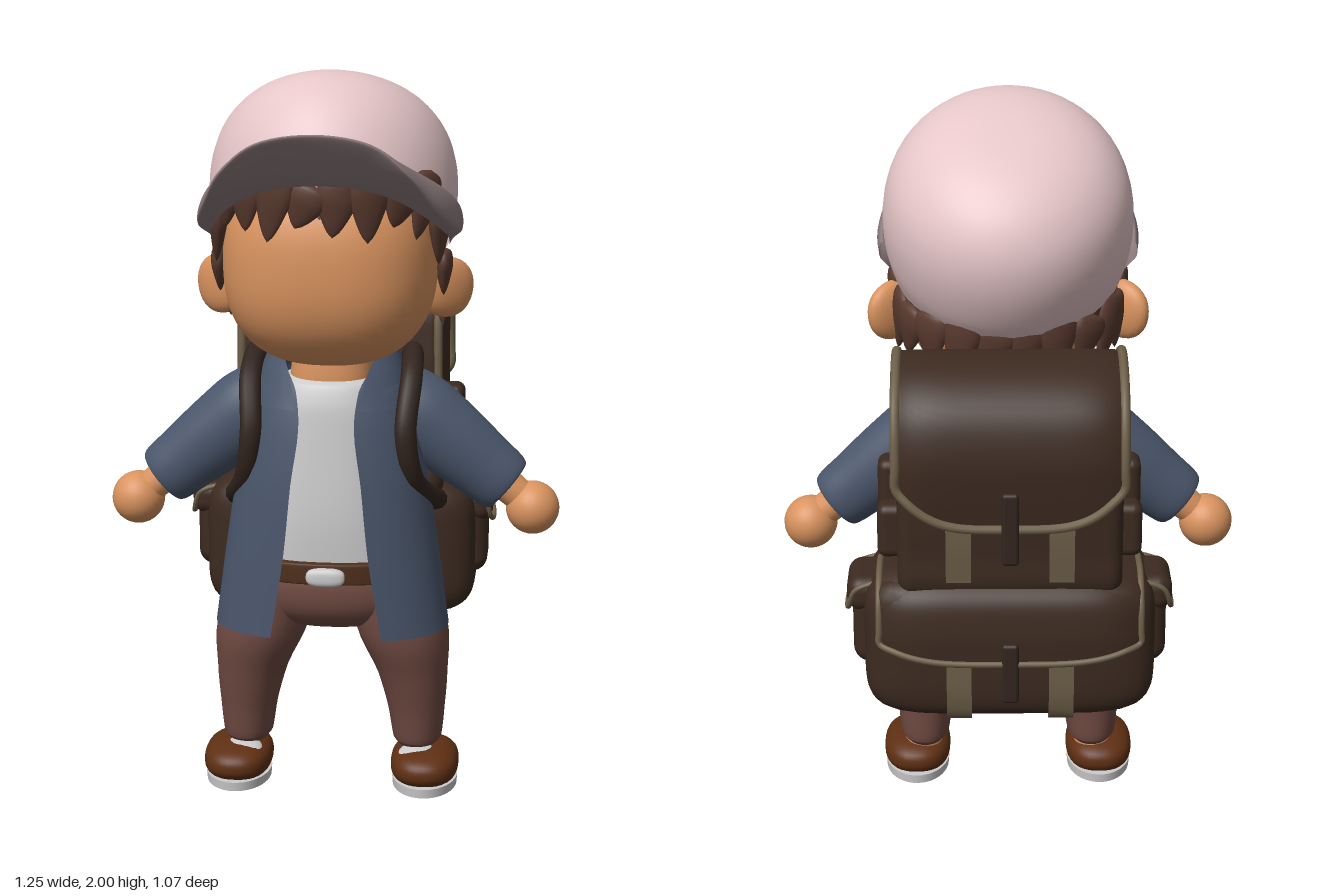
import * as THREE from 'three';
import { mergeVertices, toCreasedNormals } from 'three/addons/utils/BufferGeometryUtils.js';
import { RoundedBoxGeometry } from 'three/addons/geometries/RoundedBoxGeometry.js';
import { ParametricGeometry } from 'three/addons/geometries/ParametricGeometry.js';

const mat = (color) => new THREE.MeshStandardMaterial({ color, side: THREE.DoubleSide });
const V = (x, y, z) => new THREE.Vector3(x, y, z);
const spline = (pts, closed = false) => new THREE.CatmullRomCurve3(pts.map((p) => V(...p)), closed);

// Weld seams and rebuild smooth normals
function smooth(g) {
  g.deleteAttribute('normal');
  g.deleteAttribute('uv');
  const m = mergeVertices(g, 1e-5);
  m.computeVertexNormals();
  return m;
}
const surface = (fn, nu, nv) => smooth(new ParametricGeometry((u, v, t) => t.set(...fn(u, v)), nu, nv));

// Smooth turned shape from a few [radius, height] points, bottom to top
function turned(profile, n, seg) {
  const pts = spline(profile.map(([r, y]) => [r, y, 0])).getPoints(n);
  return smooth(new THREE.LatheGeometry(pts.map((p) => new THREE.Vector2(Math.max(0, p.x), p.y)), seg));
}

// Ball with squared-off roundness p
function ball(rx, ry, rz, p = 2, seg = 36) {
  const g = new THREE.SphereGeometry(1, seg, Math.round(seg * 0.7)), a = g.attributes.position;
  for (let i = 0; i < a.count; i++) {
    const c = [a.getX(i), a.getY(i), a.getZ(i)];
    const k = c.reduce((s, q) => s + Math.abs(q) ** p, 0) ** (-1 / p);
    a.setXYZ(i, c[0] * k * rx, c[1] * k * ry, c[2] * k * rz);
  }
  return smooth(g);
}

// Stacked rounded sections, bottom to top: [y, cx, cz, rx, rz, half width of front opening]
function loft(rows, e = 2.3, nu = 48, nv = 20) {
  const centre = spline(rows.map((r) => [r[1], r[0], r[2]]));
  const size = spline(rows.map((r) => [r[3], r[4], r[5] || 0]));
  const S = (s) => Math.sign(s) * Math.abs(s) ** (2 / e);
  return surface((u, v) => {
    const c = centre.getPoint(v), r = size.getPoint(v);
    const a0 = Math.asin(Math.min(1, (Math.max(0, r.z) / r.x) ** (e / 2)));
    const a = a0 + u * (2 * Math.PI - 2 * a0);
    return [c.x + r.x * S(Math.sin(a)), c.y, c.z + r.y * S(Math.cos(a))];
  }, nu, nv);
}

const tube = (pts, r, n = 48) => new THREE.TubeGeometry(spline(pts), n, r, 10);

// Side profile [z, y] extruded across x, with rounded rims
function bagBody(profile, half, bevel) {
  const pts = spline(profile.map(([z, y]) => [-z, y, 0]), true).getPoints(56);
  const g = new THREE.ExtrudeGeometry(new THREE.Shape(pts.map((p) => new THREE.Vector2(p.x, p.y))), {
    depth: 2 * (half - bevel), bevelSize: bevel, bevelThickness: bevel, bevelOffset: -bevel, bevelSegments: 5,
  });
  return toCreasedNormals(g.translate(0, 0, bevel - half).rotateY(Math.PI / 2), 0.8);
}

// Sheet that follows a side path [z, y]; corners shorten by round, side edges tuck in
function sheetPoint(path, half, cx, round = 0, tuck = 0) {
  const c = spline(path.map(([z, y]) => [0, y, z]));
  return (u, v) => {
    const s = 2 * u - 1, p = c.getPoint(v * (1 - round * s ** 4)), t = tuck * s ** 6;
    return [cx + s * half, p.y - t * 0.5, p.z + t];
  };
}

export function createModel() {
  const model = new THREE.Group();
  const M = {
    skin: mat(0xd9935f), hair: mat(0x593a2f), cap: mat(0xe6c6c8), brim: mat(0x8f7d7f), coat: mat(0x4a566b),
    grey: mat(0xcccccc), pants: mat(0x704a42), belt: mat(0x4d2e1b), shoe: mat(0x5f3013),
    bag: mat(0x3c2a20), strap: mat(0x32251e), trim: mat(0x6d5f48),
  };
  const add = (name, geo, m, x = 0, y = 0, z = 0, parent = model) => {
    const mesh = new THREE.Mesh(geo, M[m]);
    mesh.name = name;
    mesh.position.set(x, y, z);
    parent.add(mesh);
    return mesh;
  };

  // Head and neck
  add('head', ball(0.288, 0.285, 0.295, 2.5, 48), 'skin', 0, 1.495, 0.065);
  add('neck', loft([[1.09, 0, 0.04, 0.115, 0.1], [1.16, 0, 0.04, 0.115, 0.11], [1.28, 0, 0.04, 0.1, 0.1]]), 'skin');

  // Hair: shell with a scalloped edge, then pointed locks along it
  const hairEdge = (a) => 1.36 + 0.28 * THREE.MathUtils.smoothstep(Math.cos(a), -0.3, 0.65);
  const hairPoint = (a, y, grow = 0) => {
    const f = Math.max(0.05, 1 - Math.abs((y - 1.5) / (y > 1.5 ? 0.42 : 0.31)) ** 2.5) ** 0.4;
    const q = (Math.abs(Math.sin(a)) ** 2.4 + Math.abs(Math.cos(a)) ** 2.4) ** (-1 / 2.4);
    return [(0.298 + grow) * f * q * Math.sin(a), y, 0.06 + (0.31 + grow) * f * q * Math.cos(a)];
  };
  add('hair', surface((u, v) => {
    const a = u * 2 * Math.PI;
    return hairPoint(a, THREE.MathUtils.lerp(hairEdge(a) + 0.035 * Math.abs(Math.sin(a * 9)), 1.78, v));
  }, 108, 12), 'hair');
  const lock = turned([[0, -1], [0.3, -0.8], [0.7, -0.3], [1, 0.3], [0.85, 0.8], [0, 1]], 20, 16);
  for (let i = 0; i < 22; i++) {
    const a = ((i + 0.5) / 22) * 2 * Math.PI, len = 0.082 + 0.02 * Math.sin(i * 2.3);
    const tuft = add('hairLock', lock, 'hair', ...hairPoint(a, hairEdge(a) + 0.035, 0.006));
    tuft.scale.set(0.056, len, 0.024);
    tuft.rotation.set(0, a, -0.2 + 0.2 * Math.sin(i * 1.7 + 0.4), 'YXZ');
  }

  // Cap crown, tipped back
  const TILT = 0.49, CY = 1.557, CZ = 0.063;
  const cap = add('capCrown', turned([[0.35, 0], [0.368, 0.08], [0.366, 0.19], [0.336, 0.28], [0.276, 0.349],
    [0.195, 0.393], [0.1, 0.415], [0, 0.42]], 28, 56), 'cap', 0, CY, CZ);
  cap.rotation.x = -TILT;
  cap.scale.x = 0.905;

  // Cap brim: arched slab, thick at the crown, thin at its upturned front edge
  const half = [[0.15, 1.85, 0.53], [0.235, 1.78, 0.515], [0.29, 1.69, 0.42], [0.33, 1.62, 0.26], [0.348, 1.575, 0.1], [0.338, 1.56, -0.03]];
  const rim = spline([...half.map(([x, y, z]) => [-x, y, z]).reverse(), [0, 1.875, 0.525], ...half]);
  add('capBrim', surface((u, v) => {
    const a = (2 * u - 1) * 1.72, k = v * 2 * Math.PI, w = 0.5 - 0.5 * Math.cos(k), off = 0.014 * Math.sin(k);
    const lift = 0.04 + 0.05 * Math.sign(Math.sin(k)) * Math.abs(Math.sin(k)) ** 0.4;
    const lz = 0.36 * Math.cos(a), co = Math.cos(TILT), si = Math.sin(TILT);
    const inner = V(0.325 * Math.sin(a), CY + lift * co + lz * si, CZ - lift * si + lz * co);
    const p = inner.lerp(rim.getPoint(u), w);
    return [p.x + off * Math.sin(a), p.y + off, p.z];
  }, 72, 32), 'brim');

  // Torso, coat and belt
  add('shirt', loft([[0.64, 0, 0.035, 0.25, 0.175], [0.8, 0, 0.04, 0.225, 0.175], [1.0, 0, 0.04, 0.2, 0.16],
    [1.1, 0, 0.04, 0.18, 0.15], [1.16, 0, 0.04, 0.145, 0.13], [1.175, 0, 0.04, 0.11, 0.1]]), 'grey');
  add('coat', loft([[0.465, 0, 0.04, 0.325, 0.203, 0.152], [0.7, 0, 0.04, 0.293, 0.203, 0.115], [0.9, 0, 0.04, 0.262, 0.197, 0.095],
    [1.05, 0, 0.037, 0.235, 0.18, 0.075], [1.15, 0, 0.03, 0.207, 0.16, 0.085], [1.22, 0, 0.02, 0.16, 0.135, 0.125]]), 'coat');
  add('collar', loft([[1.1, 0, 0.03, 0.222, 0.18, 0.085], [1.19, 0, 0.01, 0.195, 0.168, 0.105], [1.27, 0, -0.015, 0.165, 0.15, 0.14]]), 'coat');
  add('hips', ball(0.25, 0.13, 0.17, 2.4), 'pants', 0, 0.585, 0.03);
  add('belt', loft([[0.615, 0, 0.035, 0.25, 0.165], [0.622, 0, 0.035, 0.268, 0.192], [0.675, 0, 0.035, 0.265, 0.192], [0.683, 0, 0.035, 0.25, 0.165]]), 'belt');
  add('beltBuckle', ball(0.053, 0.025, 0.018, 3, 24), 'grey', 0, 0.645, 0.235);

  for (const s of [1, -1]) {
    // Ears, swept back
    const ear = add('ear', ball(0.088, 0.082, 0.036, 2.2, 24), 'skin', s * 0.308, 1.41, 0.012);
    ear.rotation.set(0, s * 0.72, -s * 0.2);

    // Arms: flared sleeve, wrist and round hand
    const arm = new THREE.Group();
    arm.name = s > 0 ? 'leftArm' : 'rightArm';
    arm.position.set(s * 0.18, 1.1, -0.005);
    arm.quaternion.setFromUnitVectors(V(0, 1, 0), V(s * 0.3, -0.245, 0).normalize());
    model.add(arm);
    add('sleeve', turned([[0, -0.08], [0.08, -0.04], [0.112, 0.05], [0.11, 0.16], [0.097, 0.29], [0.084, 0.385],
      [0.072, 0.39], [0.04, 0.375]], 32, 32), 'coat', 0, 0, 0, arm).scale.z = 0.85;
    add('wrist', new THREE.CylinderGeometry(0.042, 0.05, 0.14, 24), 'skin', 0, 0.41, 0, arm);
    add('hand', ball(0.074, 0.074, 0.074, 2, 28), 'skin', s * 0.552, 0.793, -0.005);

    // Legs and shoes
    add('trouserLeg', loft([[0.11, s * 0.24, 0.025, 0.052, 0.075], [0.13, s * 0.24, 0.025, 0.068, 0.095], [0.22, s * 0.237, 0.03, 0.08, 0.105],
      [0.33, s * 0.225, 0.037, 0.099, 0.123], [0.46, s * 0.195, 0.035, 0.128, 0.155], [0.6, s * 0.165, 0.035, 0.125, 0.15]], 2.1, 36), 'pants');
    add('ankle', new THREE.CylinderGeometry(0.052, 0.055, 0.06, 24), 'skin', s * 0.245, 0.1, 0.01);
    add('shoeSole', new THREE.CylinderGeometry(0.092, 0.09, 0.026, 40), 'grey', s * 0.264, 0.013, 0.06).scale.z = 1.5;
    add('shoe', ball(0.095, 0.054, 0.14, 2.5), 'shoe', s * 0.264, 0.063, 0.06);
    add('shoeTongue', ball(0.06, 0.024, 0.056, 2.2, 24), 'grey', s * 0.25, 0.093, 0.11).rotation.x = 0.22;

    // Shoulder strap
    add('shoulderStrap', tube([[s * 0.2, 1.17, -0.17], [s * 0.215, 1.215, -0.04], [s * 0.22, 1.17, 0.09], [s * 0.21, 1.03, 0.165],
      [s * 0.23, 0.9, 0.13], [s * 0.275, 0.815, 0], [s * 0.28, 0.77, -0.15]], 0.03), 'strap');

    // Side pockets
    add('tallPocket', new RoundedBoxGeometry(0.08, 0.23, 0.09, 4, 0.025), 'bag', s * 0.31, 0.97, -0.255);
    add('smallPocket', new RoundedBoxGeometry(0.08, 0.15, 0.075, 4, 0.025), 'bag', s * 0.31, 0.92, -0.355);
    add('sidePouch', new RoundedBoxGeometry(0.12, 0.25, 0.18, 5, 0.045), 'bag', s * 0.36, 0.655, -0.3);
    add('sidePouchLid', new RoundedBoxGeometry(0.14, 0.1, 0.19, 5, 0.04), 'bag', s * 0.365, 0.735, -0.3);
    add('sidePouchTrim', tube([[s * 0.33, 0.785, -0.39], [s * 0.41, 0.755, -0.393], [s * 0.43, 0.7, -0.37], [s * 0.436, 0.685, -0.3],
      [s * 0.43, 0.7, -0.23], [s * 0.41, 0.755, -0.207], [s * 0.33, 0.785, -0.21]], 0.007), 'trim');
    add('bagSeam', tube([[s * 0.275, 0.84, -0.145], [s * 0.278, 1.1, -0.155], [s * 0.275, 1.3, -0.175], [s * 0.27, 1.36, -0.23]], 0.012), 'trim');

    // Flat bands on the back of the bag
    const band = (path) => surface(sheetPoint(path, 0.033, s * 0.135), 2, 24);
    add('upperBand', band([[-0.497, 1.1], [-0.502, 0.95], [-0.492, 0.82]]), 'trim');
    add('lowerBand', band([[-0.516, 0.68], [-0.518, 0.58], [-0.515, 0.49], [-0.495, 0.43], [-0.44, 0.408], [-0.3, 0.408], [-0.17, 0.412]]), 'trim');
  }

  // Backpack bodies
  add('upperBag', bagBody([[-0.13, 0.78], [-0.14, 0.95], [-0.155, 1.2], [-0.18, 1.33], [-0.26, 1.378], [-0.38, 1.355], [-0.47, 1.27],
    [-0.492, 1.12], [-0.49, 0.9], [-0.475, 0.78]], 0.295, 0.04), 'bag');
  add('lowerBag', ball(0.388, 0.205, 0.2, 5.5, 72), 'bag', 0, 0.62, -0.31);

  // Flaps with piped edges
  const flap = (name, path, half, round, tuck, pipe) => {
    const f = sheetPoint(path, half, 0, round, tuck), edge = [];
    add(name, surface(f, 32, 28), 'bag');
    for (let i = 0; i <= 10; i++) edge.push(f(0, i / 10));
    for (let i = 1; i <= 16; i++) edge.push(f(i / 16, 1));
    for (let i = 9; i >= 0; i--) edge.push(f(1, i / 10));
    add(name + 'Trim', tube(edge, pipe, 120), 'trim');
  };
  flap('upperFlap', [[-0.2, 1.36], [-0.28, 1.39], [-0.4, 1.365], [-0.49, 1.29], [-0.525, 1.18], [-0.525, 1.08], [-0.515, 0.98]], 0.295, 0.2, 0.025, 0.013);
  flap('lowerFlap', [[-0.34, 0.832], [-0.44, 0.829], [-0.508, 0.778], [-0.528, 0.69], [-0.527, 0.6]], 0.345, 0.18, 0.04, 0.009);

  // Closing straps
  add('upperBuckleStrap', new RoundedBoxGeometry(0.045, 0.2, 0.025, 3, 0.01), 'strap', 0, 0.985, -0.525);
  add('lowerBuckleStrap', new RoundedBoxGeometry(0.045, 0.17, 0.025, 3, 0.01), 'strap', 0, 0.575, -0.527);
  return model;
}
